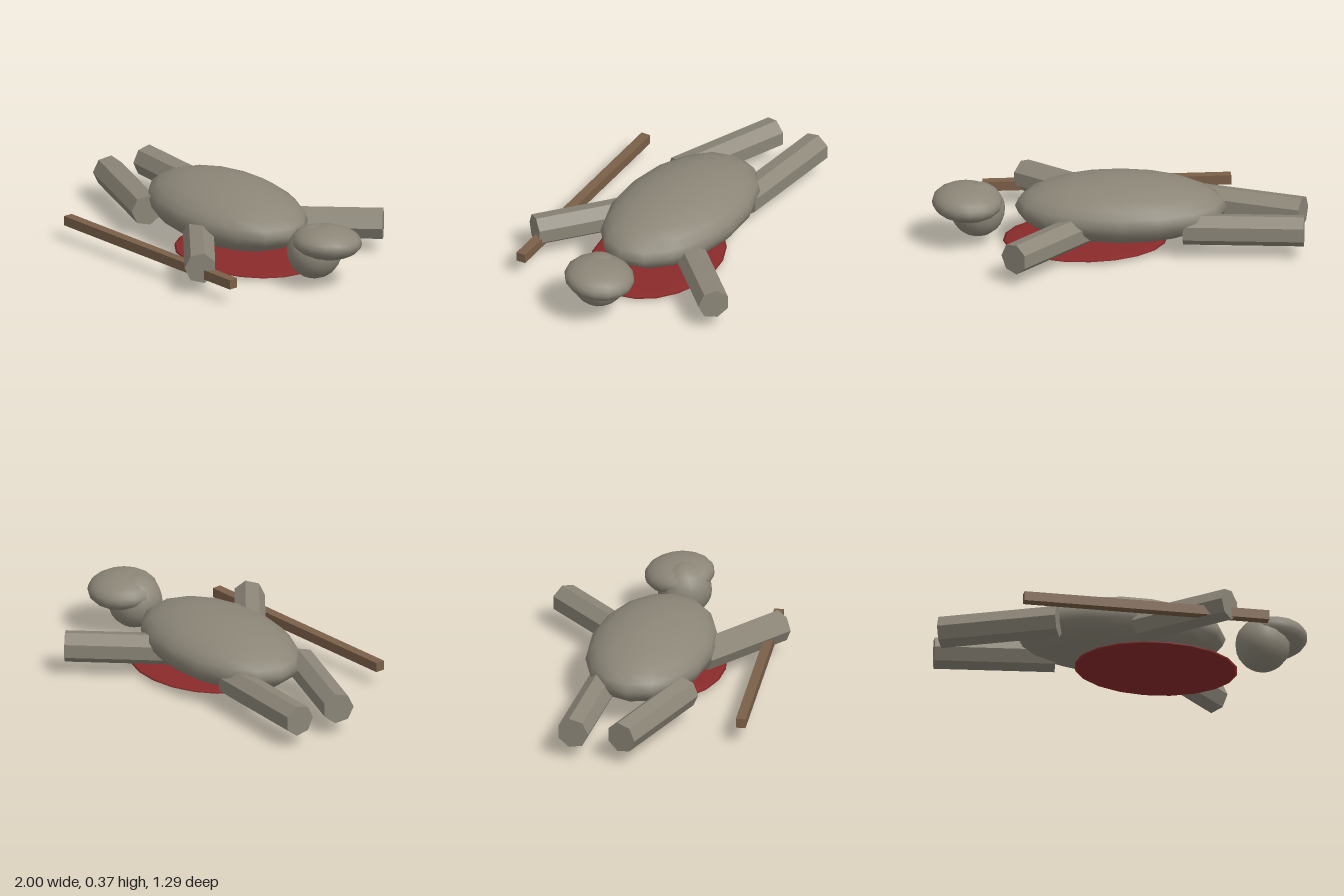
import * as THREE from 'three';

export function createModel() {
  const model = new THREE.Group();
  const material = (name, color, flatShading = false) => {
    const m = new THREE.MeshStandardMaterial({ color, flatShading });
    m.name = name;
    return m;
  };
  const stone = material('stoneGrey', 0x8c8678);
  const red = material('darkRed', 0x8a2a2a);
  const wood = material('woodBrown', 0x7a6048);

  const add = (name, geometry, mat, x, y, z) => {
    const mesh = new THREE.Mesh(geometry, mat);
    mesh.name = name;
    mesh.position.set(x, y, z);
    model.add(mesh);
    return mesh;
  };
  const ellipsoid = (name, mat, pos, radii, w, h) =>
    add(name, new THREE.SphereGeometry(1, w, h).scale(...radii), mat, ...pos);

  // Long, flattened torso, turned slightly
  ellipsoid('torso', stone, [-0.005, 0.21, -0.035], [0.56, 0.165, 0.333], 16, 12).rotation.y = -0.09;

  // Head with a wide cap resting on it
  ellipsoid('head', stone, [0.75, 0.192, 0.023], [0.146, 0.146, 0.146], 16, 12);
  ellipsoid('cap', stone, [0.808, 0.25, -0.013], [0.187, 0.088, 0.187], 16, 12).rotation.set(-0.08, 0, 0.03);

  // Splayed limbs: seven-sided rods lying flat, from inner end to outer end
  const limb = (name, x0, z0, x1, z1) => {
    const dx = x1 - x0, dz = z1 - z0;
    const geometry = new THREE.CylinderGeometry(0.085, 0.085, Math.hypot(dx, dz), 7)
      .rotateZ(Math.PI / 2)
      .toNonIndexed();
    geometry.computeVertexNormals(); // crisp facets
    add(name, geometry, stone, (x0 + x1) / 2, 0.153, (z0 + z1) / 2)
      .rotation.y = Math.atan(-dz / dx);
  };
  limb('leftLeg', -0.32, -0.237, -0.955, -0.31);
  limb('rightLeg', -0.38, 0.2, -0.968, -0.05);
  limb('leftArm', 0.2, -0.19, 0.604, -0.594);
  limb('rightArm', 0.055, 0.22, 0.47, 0.578);

  // Thin pool beneath the torso
  ellipsoid('pool', red, [0.182, 0.019, -0.005], [0.436, 0.018, 0.338], 20, 12);

  // Wooden staff lying alongside
  add('staff', new THREE.BoxGeometry(1.315, 0.052, 0.052), wood, 0.028, 0.115, 0.538);

  return model;
}
